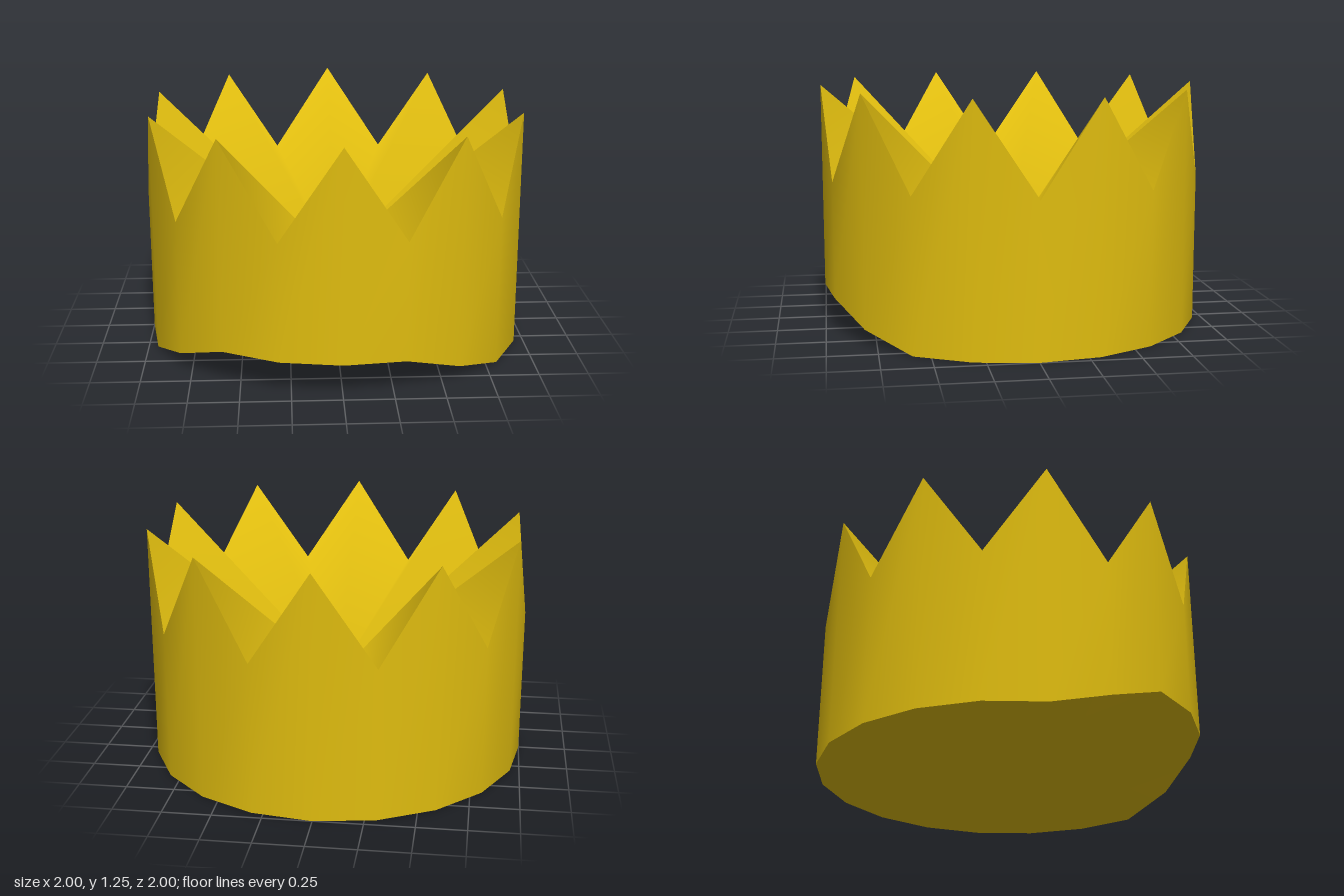
import * as THREE from 'three';

const SIDES = 20;

// Point on the rim: step 0 is the front, steps run towards +x.
function rimPoint(step, y) {
  const a = (step / SIDES) * Math.PI * 2;
  return [Math.sin(a), y, Math.cos(a)];
}

function smoothGeometry(points, index) {
  const g = new THREE.BufferGeometry();
  g.setAttribute('position', new THREE.Float32BufferAttribute(points.flat(), 3));
  g.setIndex(index);
  g.computeVertexNormals();
  return g;
}

// Fan from a centre point to a ring, facing up or down.
function fan(ring, centreY, up) {
  const index = [];
  for (let i = 0; i < SIDES; i++) {
    const a = i + 1, b = ((i + 1) % SIDES) + 1;
    index.push(0, ...(up ? [a, b] : [b, a]));
  }
  return smoothGeometry([[0, centreY, 0], ...ring], index);
}

// Closed band between two rings, facing outwards.
function band(lower, upper) {
  const index = [];
  for (let i = 0; i < SIDES; i++) {
    const j = (i + 1) % SIDES;
    index.push(i, j, j + SIDES, i, j + SIDES, i + SIDES);
  }
  return smoothGeometry([...lower, ...upper], index);
}

export function createModel() {
  const group = new THREE.Group();
  group.name = 'crown';
  const gold = new THREE.MeshStandardMaterial({ color: 0xdfbc0f });
  gold.name = 'gold';

  // Lower rim lifts over the brow, slightly off centre.
  const lift = { '-3': 0.08, '-2': 0.18, '-1': 0.18, 0: 0.18, 1: 0.175, 2: 0.08 };
  const lower = [], upper = [];
  for (let i = 0; i < SIDES; i++) {
    const step = i > SIDES / 2 ? i - SIDES : i;
    lower.push(rimPoint(i, lift[step] ?? 0));
    upper.push(rimPoint(i, i % 2 ? 0.78 : 1.25)); // alternating valleys and points
  }

  const parts = {
    pointedBand: band(lower, upper),
    foldedInside: fan(upper, 0.38, true),
    underside: fan(lower, 0, false),
  };
  for (const [name, geometry] of Object.entries(parts)) {
    const mesh = new THREE.Mesh(geometry, gold);
    mesh.name = name;
    group.add(mesh);
  }
  return group;
}
